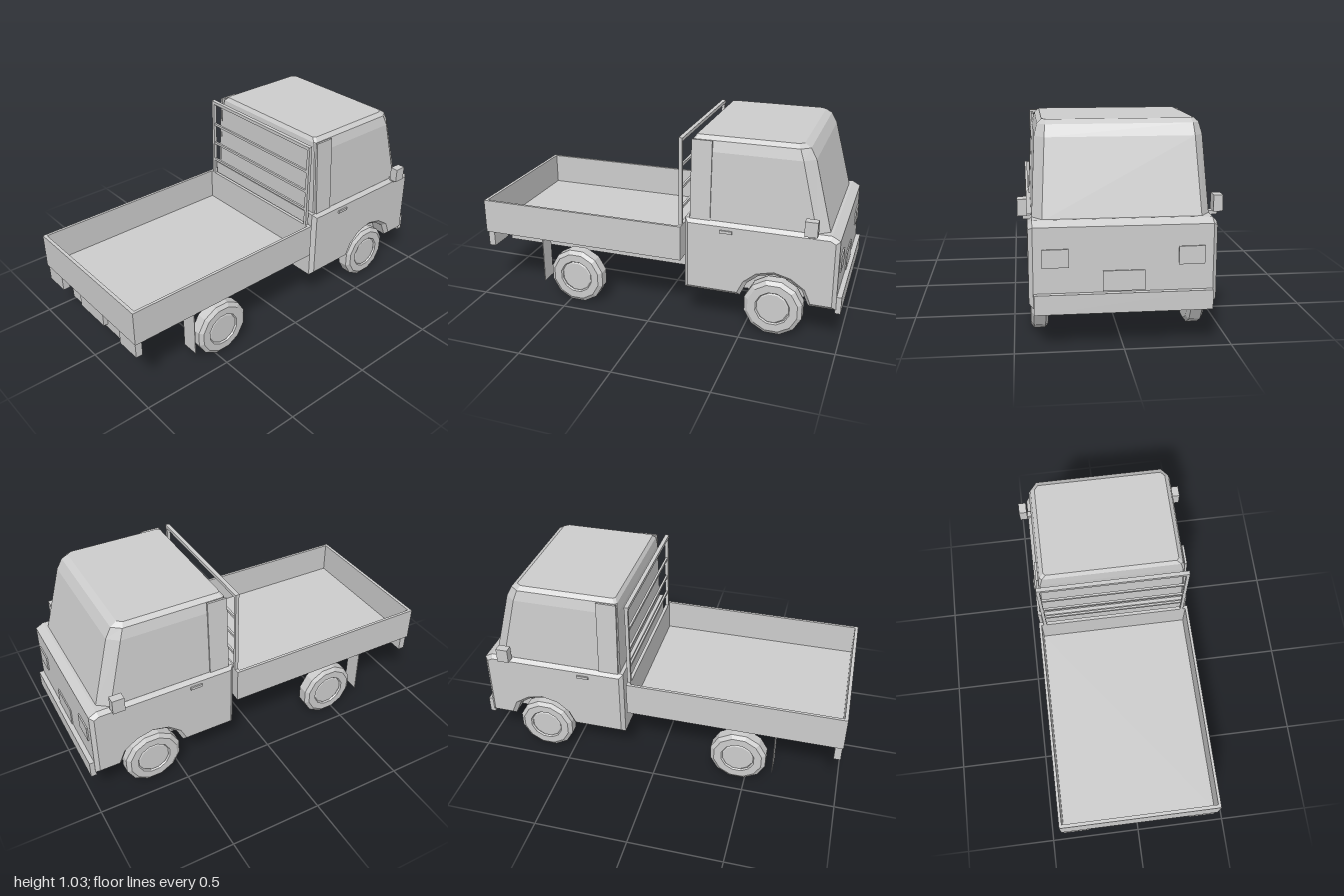
import * as THREE from 'three';

const paint = new THREE.MeshStandardMaterial({ color: 0xcccccc, flatShading: true });
paint.name = 'light grey';

export function createModel() {
  const truck = new THREE.Group();
  truck.name = 'flatbedTruck';

  const add = (name, geometry) => {
    const mesh = new THREE.Mesh(geometry, paint);
    mesh.name = name;
    truck.add(mesh);
    return mesh;
  };
  // box given by its limits on each axis
  const box = (name, x0, x1, y0, y1, z0, z1) =>
    add(name, new THREE.BoxGeometry(x1 - x0, y1 - y0, z1 - z0)
      .translate((x0 + x1) / 2, (y0 + y1) / 2, (z0 + z1) / 2));
  // the same box on both sides of the truck
  const pair = (name, x0, x1, y0, y1, z0, z1) => {
    box(name + 'Left', x0, x1, y0, y1, z0, z1);
    box(name + 'Right', x0, x1, y0, y1, -z1, -z0);
  };
  const shapeOf = pts => new THREE.Shape(pts.map(p => new THREE.Vector2(p[0], p[1])));

  // chassis and cargo bed
  box('chassis', -0.96, 0.2, 0.235, 0.357, -0.24, 0.24);
  box('bedFloor', -0.995, 0.155, 0.355, 0.37, -0.425, 0.425);
  pair('bedSide', -1, 0.16, 0.355, 0.545, 0.415, 0.43);
  box('tailgate', -1, -0.982, 0.355, 0.545, -0.415, 0.415);
  box('bedFront', 0.142, 0.16, 0.355, 0.545, -0.415, 0.415);

  // headboard rack behind the cab
  pair('rackPost', 0.142, 0.16, 0.54, 1.015, 0.385, 0.402);
  box('rackTop', 0.14, 0.162, 0.997, 1.015, -0.4, 0.4);
  for (const y of [0.63, 0.74, 0.86]) {
    box('rackBar', 0.145, 0.157, y, y + 0.014, -0.39, 0.39);
  }

  // lower cab: plain core plus bevelled side skins with wheel arches
  const top = [[0.975, 0.2], [0.972, 0.575], [0.93, 0.598], [0.18, 0.598]];
  const arch = [[0.48, 0.2], [0.515, 0.275], [0.575, 0.325], [0.655, 0.345],
    [0.735, 0.325], [0.8, 0.28], [0.835, 0.2]];
  add('cabCore', new THREE.ExtrudeGeometry(shapeOf([[0.18, 0.2], ...top]),
    { depth: 0.66, bevelEnabled: false }).translate(0, 0, -0.33));
  for (const z of [0.3, -0.43]) {
    const skin = new THREE.ExtrudeGeometry(shapeOf([[0.18, 0.2], ...arch, ...top]), {
      depth: 0.09, bevelThickness: 0.02, bevelSize: 0.02, bevelOffset: -0.02, bevelSegments: 1,
    });
    add('cabSide', skin.translate(0, 0, z + 0.02));
  }

  // upper cab: rings with cut corners [y, rear x, front x, half width, cut x, cut z, rear cut]
  const rings = [
    [0.59, 0.2, 0.917, 0.41, 0.06, 0.045, 0.012],
    [0.955, 0.203, 0.82, 0.391, 0.055, 0.045, 0.012],
    [1.01, 0.208, 0.79, 0.377, 0.045, 0.035, 0.012],
    [1.03, 0.222, 0.757, 0.355, 0.025, 0.02, 0.012],
  ];
  const points = rings.map(([y, r, f, w, cx, cz, c]) => [
    [f - cx, y, w], [f, y, w - cz], [f, y, cz - w], [f - cx, y, -w],
    [r + c, y, -w], [r, y, c - w], [r, y, w - c], [r + c, y, w],
  ]);
  const pos = [];
  for (let i = 0; i < rings.length - 1; i++) {
    for (let j = 0; j < 8; j++) {
      const k = (j + 1) % 8;
      const [a, b, c, d] = [points[i][j], points[i][k], points[i + 1][k], points[i + 1][j]];
      pos.push(...a, ...b, ...c, ...a, ...c, ...d);
    }
  }
  const roof = points[rings.length - 1];
  for (let j = 1; j < 7; j++) pos.push(...roof[0], ...roof[j], ...roof[j + 1]);
  const cabin = new THREE.BufferGeometry();
  cabin.setAttribute('position', new THREE.Float32BufferAttribute(pos, 3));
  cabin.computeVertexNormals();
  add('cabUpper', cabin);

  // rear quarter panels leaning with the cab sides
  for (const s of [1, -1]) {
    const panel = add('quarterPanel', new THREE.BoxGeometry(0.107, 0.415, 0.012));
    panel.position.set(0.26, 0.805, s * 0.4);
    panel.rotation.x = -s * 0.05;
  }

  // mirrors and door handles
  pair('mirror', 0.803, 0.867, 0.605, 0.683, 0.43, 0.474);
  pair('mirrorArm', 0.82, 0.852, 0.588, 0.607, 0.395, 0.45);
  pair('doorHandle', 0.37, 0.435, 0.545, 0.56, 0.425, 0.438);

  // front bumper, number plate and headlights
  box('bumper', 0.97, 1, 0.178, 0.27, -0.408, 0.408);
  box('frontPlate', 0.97, 0.98, 0.275, 0.37, -0.097, 0.097);
  pair('headlight', 0.965, 0.98, 0.39, 0.475, 0.25, 0.37);

  // rear lamps, rear plate and mud flaps
  pair('rearLamp', -0.995, -0.958, 0.268, 0.357, 0.28, 0.42);
  box('rearPlate', -0.985, -0.955, 0.262, 0.357, -0.11, 0.11);
  pair('mudFlap', -0.65, -0.646, 0.1, 0.357, 0.335, 0.428);

  // twelve-sided wheels with a recessed hub
  const tyre = [[0, -0.0425], [0.137, -0.0425], [0.157, -0.0275], [0.157, 0.0275],
    [0.135, 0.0425], [0.093, 0.0425], [0.087, 0.034], [0.08, 0.038], [0, 0.038]];
  for (const x of [0.655, -0.455]) {
    for (const s of [1, -1]) {
      const wheel = add('wheel', new THREE.LatheGeometry(
        tyre.map(p => new THREE.Vector2(p[0], p[1])), 12, Math.PI / 12));
      wheel.rotation.x = s * Math.PI / 2;
      wheel.position.set(x, 0.152, s * 0.378);
    }
  }

  return truck;
}
